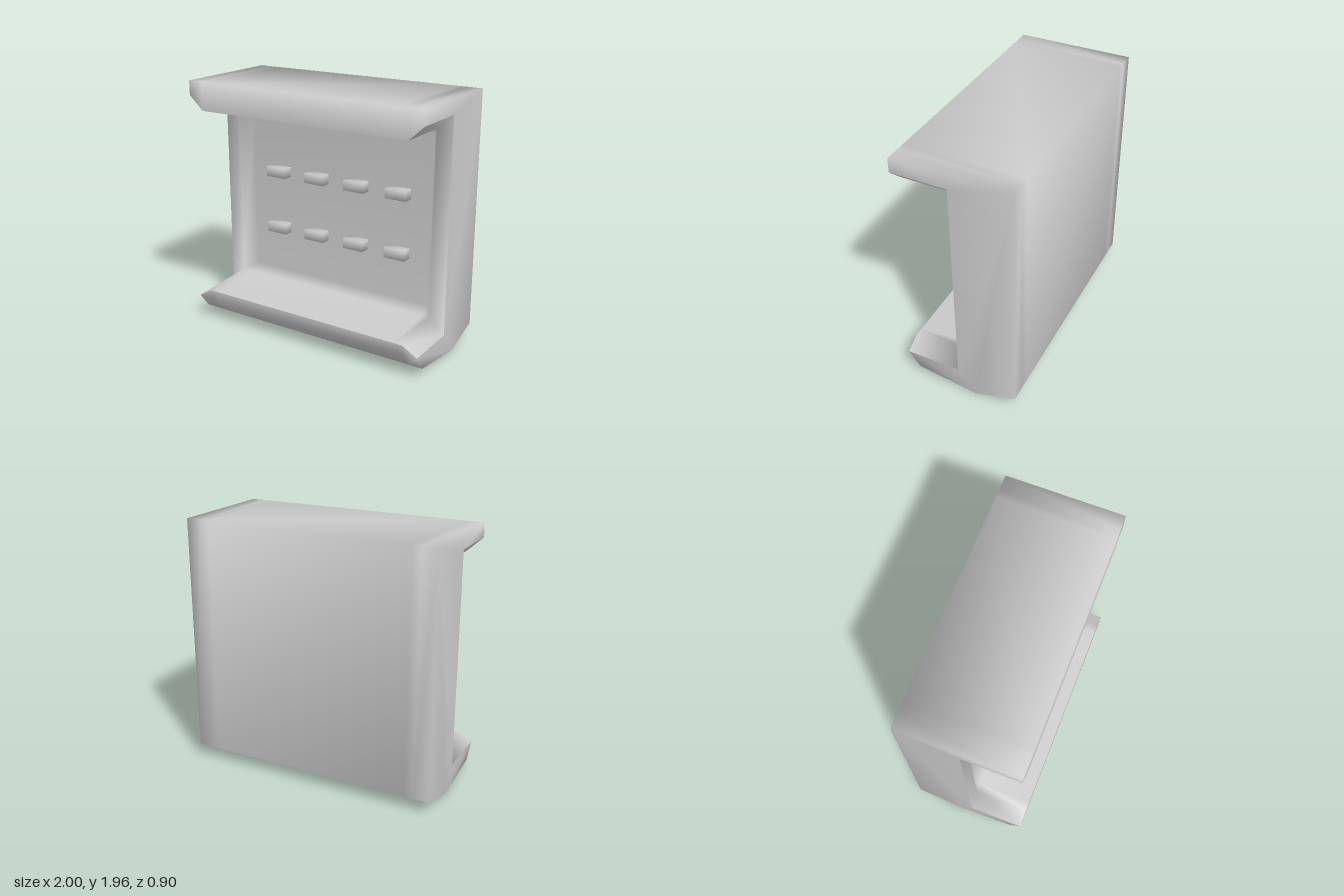
import * as THREE from 'three';
import { mergeVertices } from 'three/addons/utils/BufferGeometryUtils.js';

const grey = new THREE.MeshStandardMaterial({ color: 0xcccccc });

// Side profile as [z, y]: underside, lip front, inner face, visor front, top and back.
const profile = (lipY, floorY, panelZ, panelBottom, panelTop, visorY) => [
  [-0.45, 0.1], [-0.12, 0], [0.36, 0.07], [0.45, 0.19],
  [0.45, lipY], [0.02, floorY], [panelZ, panelBottom], [panelZ, panelTop],
  [0.02, visorY], [0.45, visorY], [0.45, 1.96], [-0.45, 1.96],
];
const end = profile(0.19, 0.19, 0.02, 0.19, 1.85, 1.85);
const rim = profile(0.26, 0.305, 0.02, 0.305, 1.74, 1.74);
const recess = profile(0.26, 0.305, -0.09, 0.34, 1.68, 1.74);
const sections = [
  [-1, end], [-0.88, rim], [-0.81, recess],
  [0.81, recess], [0.88, rim], [1, end],
];
const N = end.length;

// Smooth skin across the sections, from profile point `first` over `count` strips.
function loft(first, count, capped) {
  const positions = sections.flatMap(([x, pts]) => pts.flatMap(([z, y]) => [x, y, z]));
  const index = [];
  for (let i = 0; i < sections.length - 1; i++) {
    for (let k = 0; k < count; k++) {
      const j = (first + k) % N, n = (j + 1) % N;
      const a = i * N + j, b = i * N + n, c = b + N, d = a + N;
      index.push(a, d, c, a, c, b);
    }
  }
  if (capped) {
    // Flat C-shaped side walls, without the doubled profile points
    const ids = [0, 1, 2, 3, 5, 8, 9, 10, 11];
    const outline = ids.map((k) => new THREE.Vector2(...end[k]));
    const last = (sections.length - 1) * N;
    for (const [a, b, c] of THREE.ShapeUtils.triangulateShape(outline, [])) {
      index.push(ids[a], ids[b], ids[c]);
      index.push(last + ids[a], last + ids[c], last + ids[b]);
    }
  }
  const geometry = new THREE.BufferGeometry();
  geometry.setAttribute('position', new THREE.Float32BufferAttribute(positions, 3));
  geometry.setIndex(index);
  return smooth(geometry);
}

function smooth(geometry) {
  geometry.deleteAttribute('normal');
  geometry.deleteAttribute('uv');
  const merged = mergeVertices(geometry);
  merged.computeVertexNormals();
  return merged;
}

export function createModel() {
  const model = new THREE.Group();
  model.name = 'wallCabinet';
  const add = (name, geometry) => {
    const mesh = new THREE.Mesh(geometry, grey);
    mesh.name = name;
    model.add(mesh);
    return mesh;
  };

  // Outer casing with visor and lip, then the recessed front
  add('casing', loft(9, 7, true));
  add('recessedFront', loft(4, 5, false));

  // Two rows of four raised buttons on the panel
  const button = smooth(new THREE.BoxGeometry(0.177, 0.08, 0.09));
  for (const y of [0.725, 1.195]) {
    for (const x of [-0.545, -0.182, 0.182, 0.545]) {
      add('button', button).position.set(x, y, -0.055);
    }
  }
  return model;
}
